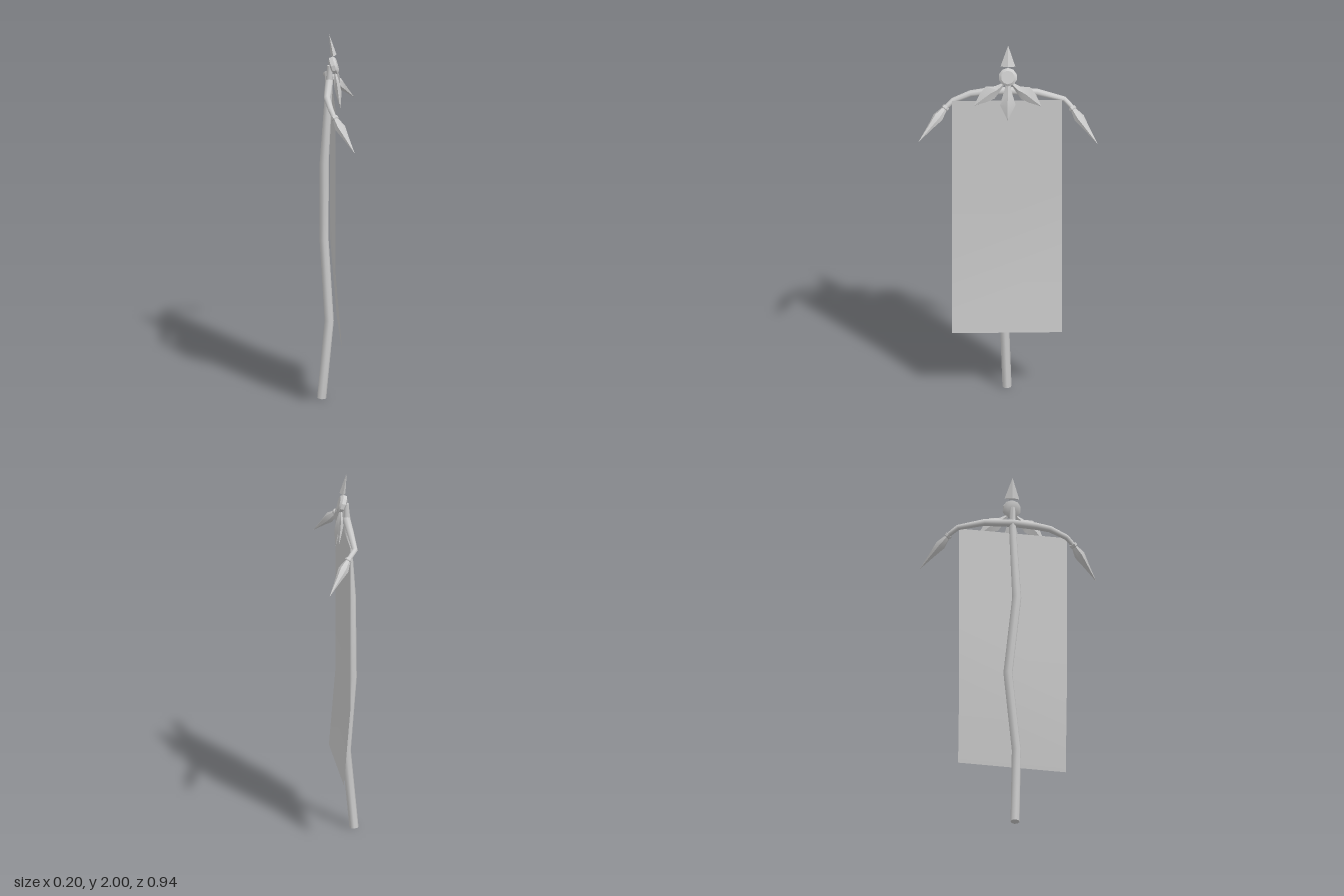
import * as THREE from 'three';
import { toCreasedNormals } from 'three/addons/utils/BufferGeometryUtils.js';

const material = new THREE.MeshStandardMaterial({ color: 0xcccccc, side: THREE.DoubleSide });

// Skins rows of [x, y, z, radius towards ref, radius across] with capped, n-sided rings.
function loft(name, rows, sides, crease = 0.6, ref = new THREE.Vector3(1, 0, 0)) {
  const pts = rows.map(r => new THREE.Vector3(r[0], r[1], r[2]));
  const last = pts.length - 1;
  const pos = [], index = [];
  pts.forEach((p, i) => {
    const t = pts[Math.min(i + 1, last)].clone().sub(pts[Math.max(i - 1, 0)]).normalize();
    const n = ref.clone().addScaledVector(t, -ref.dot(t)).normalize();
    const b = t.clone().cross(n);
    const [ra, rb = ra] = rows[i].slice(3);
    for (let j = 0; j < sides; j++) {
      const a = j / sides * Math.PI * 2;
      const v = p.clone().addScaledVector(n, ra * Math.cos(a)).addScaledVector(b, rb * Math.sin(a));
      pos.push(v.x, v.y, v.z);
    }
  });
  for (let i = 0; i < last; i++) {
    for (let j = 0; j < sides; j++) {
      const k = (j + 1) % sides, a = i * sides, c = a + sides;
      index.push(a + j, a + k, c + k, a + j, c + k, c + j);
    }
  }
  // End caps
  const c0 = pos.length / 3;
  pos.push(...pts[0].toArray(), ...pts[last].toArray());
  for (let j = 0; j < sides; j++) {
    const k = (j + 1) % sides, e = last * sides;
    index.push(c0, k, j, c0 + 1, e + j, e + k);
  }
  const g = new THREE.BufferGeometry();
  g.setAttribute('position', new THREE.Float32BufferAttribute(pos, 3));
  g.setIndex(index);
  const mesh = new THREE.Mesh(toCreasedNormals(g, crease), material);
  mesh.name = name;
  return mesh;
}

// Spear-like end: collar, flare, then a long point
function finial(name, from, to) {
  const a = new THREE.Vector3(...from), b = new THREE.Vector3(...to);
  const profile = [[0, 0.019], [0.06, 0.02], [0.08, 0.015], [0.3, 0.028], [0.55, 0.017], [1, 0.0005]];
  return loft(name, profile.map(([t, r]) => [...a.clone().lerp(b, t).toArray(), r]), 6, 0.5);
}

export function createModel() {
  const model = new THREE.Group();
  model.name = 'bannerStandard';

  // Crooked pole
  model.add(loft('pole', [
    [-0.075, 0, 0.01, 0.024], [-0.036, 0.43, 0.023, 0.024], [-0.063, 0.86, -0.026, 0.024],
    [-0.062, 1.3, 0.021, 0.024], [-0.038, 1.7, 0.003, 0.019], [-0.033, 1.83, 0.003, 0.014],
  ], 8, 0.9));

  // Drooping crossbar with pointed ends
  model.add(loft('crossbar', [
    [-0.017, 1.65, -0.34, 0.013], [-0.055, 1.685, -0.29, 0.015], [-0.042, 1.73, -0.15, 0.019],
    [-0.036, 1.74, 0, 0.021], [-0.042, 1.728, 0.13, 0.02], [-0.046, 1.715, 0.2, 0.018],
    [-0.027, 1.683, 0.29, 0.015], [-0.005, 1.645, 0.335, 0.013],
  ], 8, 0.9));
  model.add(finial('rearFinial', [-0.022, 1.655, -0.33], [0.092, 1.5, -0.468]));
  model.add(finial('frontFinial', [-0.01, 1.655, 0.325], [0.099, 1.5, 0.467]));

  // Cloth: flat above, kicked outward at the bottom, slightly turned about the pole
  const cloth = new THREE.PlaneGeometry(0.575, 1.335, 1, 3);
  cloth.rotateY(Math.PI / 2);
  const p = cloth.attributes.position;
  const heights = [1.69, 1.25, 0.79, 0.355], offsets = [-0.018, -0.018, -0.018, 0.017];
  for (let i = 0; i < p.count; i++) {
    const row = Math.floor(i / 2), z = p.getZ(i) + 0.008;
    p.setXYZ(i, offsets[row] + z * 0.053, heights[row], z);
  }
  cloth.computeVertexNormals();
  const banner = new THREE.Mesh(cloth, material);
  banner.name = 'banner';
  model.add(banner);

  // Ridged leaves: one hanging, one curling to each side
  model.add(loft('centreLeaf', [
    [-0.006, 1.795, 0.003, 0.006, 0.008], [0.006, 1.735, 0.003, 0.012, 0.025],
    [0.013, 1.68, 0.003, 0.016, 0.041], [0.022, 1.595, 0.003, 0.001, 0.001],
  ], 4, 0.3));
  for (const s of [-1, 1]) {
    model.add(loft(s > 0 ? 'frontLeaf' : 'rearLeaf', [
      [-0.005, 1.795, 0.003 + s * 0.022, 0.006, 0.007], [0.0, 1.765, 0.003 + s * 0.055, 0.012, 0.02],
      [0.003, 1.745, 0.003 + s * 0.093, 0.014, 0.042], [0.01, 1.715, 0.003 + s * 0.13, 0.01, 0.029],
      [0.018, 1.677, 0.003 + s * 0.175, 0.001, 0.001],
    ], 4, 0.3));
  }

  // Bevelled medallion, tipped slightly upward
  model.add(loft('medallion', [
    [-0.03, 1.824, 0.003, 0.028], [-0.022, 1.827, 0.003, 0.047], [-0.004, 1.833, 0.003, 0.049],
    [0.006, 1.836, 0.003, 0.036],
  ], 10, 0.5, new THREE.Vector3(0, 1, 0)));

  // Top spike
  model.add(loft('spike', [
    [-0.014, 1.89, 0.003, 0.016, 0.039], [-0.036, 2, 0.003, 0.0005, 0.0005],
  ], 4, 0.3));

  return model;
}
